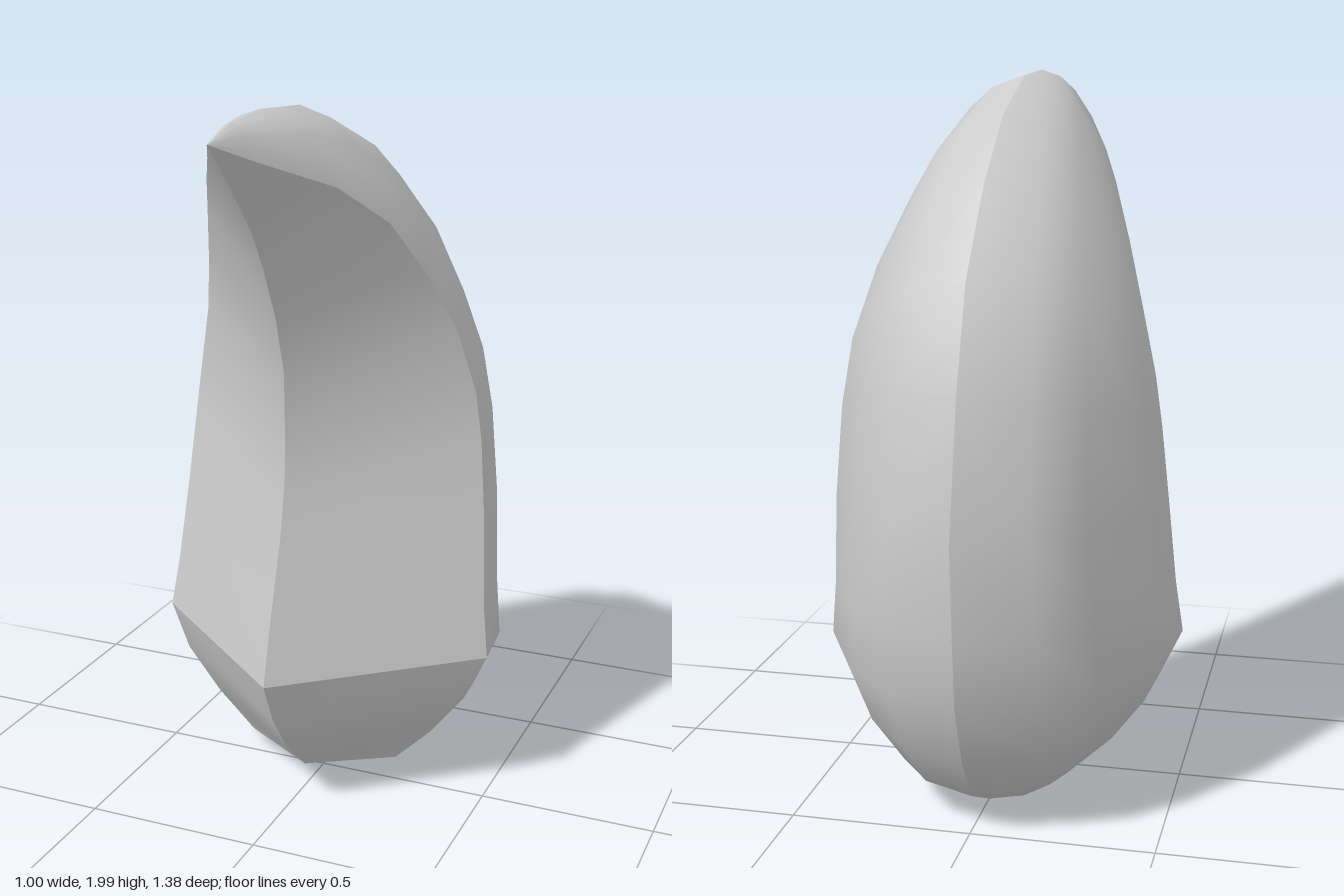
import * as THREE from 'three';

// Stations from tip to base: front ridge [z, y], side edge [x, z, y], back ridge [z, y]
const STATIONS = [
  [[0.69, 1.95], [0, 0.69, 1.95], [0.69, 1.95]],
  [[0.57, 1.83], [0.06, 0.57, 1.9], [0.57, 1.985]],
  [[0.46, 1.71], [0.18, 0.34, 1.81], [0.4, 2.0]],
  [[0.39, 1.6], [0.26, 0.18, 1.7], [0.16, 1.985]],
  [[0.32, 1.46], [0.32, 0.06, 1.55], [-0.1, 1.89]],
  [[0.27, 1.3], [0.375, -0.04, 1.38], [-0.32, 1.72]],
  [[0.265, 1.13], [0.42, -0.08, 1.2], [-0.51, 1.5]],
  [[0.27, 1.0], [0.44, -0.08, 1.06], [-0.61, 1.23]],
  [[0.3, 0.85], [0.46, -0.06, 0.85], [-0.69, 0.87]],
  [[0.38, 0.6], [0.48, -0.02, 0.6], [-0.67, 0.6]],
  [[0.42, 0.45], [0.5, 0, 0.45], [-0.65, 0.42]],
  [[0.36, 0.32], [0.44, 0.01, 0.32], [-0.58, 0.25]],
  [[0.27, 0.2], [0.34, 0.005, 0.19], [-0.48, 0.11]],
  [[0.14, 0.08], [0.23, 0, 0.08], [-0.28, 0.01]],
];
const WIDEST = 10;

// Rounded back section: [share of half width, way from side edge to back ridge]
const BACK_SECTION = [[1, 0], [0.95, 0.31], [0.68, 0.7], [0.41, 0.9], [0, 1]];

function backRow([, [x, z, y], [bz, by]], i) {
  const bulge = Math.min(1, 0.6 + i * 0.06); // flatter towards the tip
  return BACK_SECTION.map(([f, g]) => new THREE.Vector3(
    x * THREE.MathUtils.lerp(1 - g, f, bulge),
    THREE.MathUtils.lerp(y, by, g),
    THREE.MathUtils.lerp(z, bz, g)));
}

function frontRow([[fz, fy], [x, z, y]]) {
  return [new THREE.Vector3(0, fy, fz), new THREE.Vector3(x, y, z)];
}

const mirrorRow = (row) => row.map((p) => new THREE.Vector3(-p.x, p.y, p.z));

// Smooth surface through rows of points; creases fall between patches
function patch(rows, flip) {
  const n = rows[0].length;
  const index = [];
  const points = rows.flat();
  const add = (a, b, c) => {
    if (points[a].equals(points[b]) || points[b].equals(points[c]) || points[a].equals(points[c])) return;
    index.push(...(flip ? [a, c, b] : [a, b, c]));
  };
  for (let i = 0; i < rows.length - 1; i++) {
    for (let j = 0; j < n - 1; j++) {
      const a = i * n + j, c = a + n;
      add(a, c, a + 1);
      add(a + 1, c, c + 1);
    }
  }
  const geometry = new THREE.BufferGeometry().setFromPoints(points);
  geometry.setIndex(index);
  geometry.computeVertexNormals();
  return geometry;
}

export function createModel() {
  const group = new THREE.Group();
  group.name = 'claw';
  const material = new THREE.MeshStandardMaterial({ color: 0xcccccc });
  const addPart = (name, rows, flip) => {
    const mesh = new THREE.Mesh(patch(rows, flip), material);
    mesh.name = name;
    group.add(mesh);
  };

  const back = STATIONS.map(backRow);
  const front = STATIONS.map(frontRow);

  // Both halves: rounded back, hollow inner curve, and lower front
  for (const side of ['left', 'right']) {
    const mirrored = side === 'right';
    const half = (rows) => (mirrored ? rows.map(mirrorRow) : rows);
    addPart(side + 'Back', half(back), mirrored);
    addPart(side + 'InnerCurve', half(front.slice(0, WIDEST + 1)), mirrored);
    addPart(side + 'LowerFront', half(front.slice(WIDEST)), mirrored);
  }

  // Base cap: a shallow fan closing the last ring
  const last = STATIONS.length - 1;
  const halfRing = [front[last][0], ...back[last]];
  const ring = [...halfRing, ...mirrorRow(halfRing).reverse().slice(1)];
  const centre = ring.map(() => new THREE.Vector3(0, 0.035, 0));
  addPart('baseCap', [centre, ring], true);

  // Stand on the ground
  group.children.forEach((mesh) => mesh.geometry.translate(0, -0.01, 0));
  return group;
}
